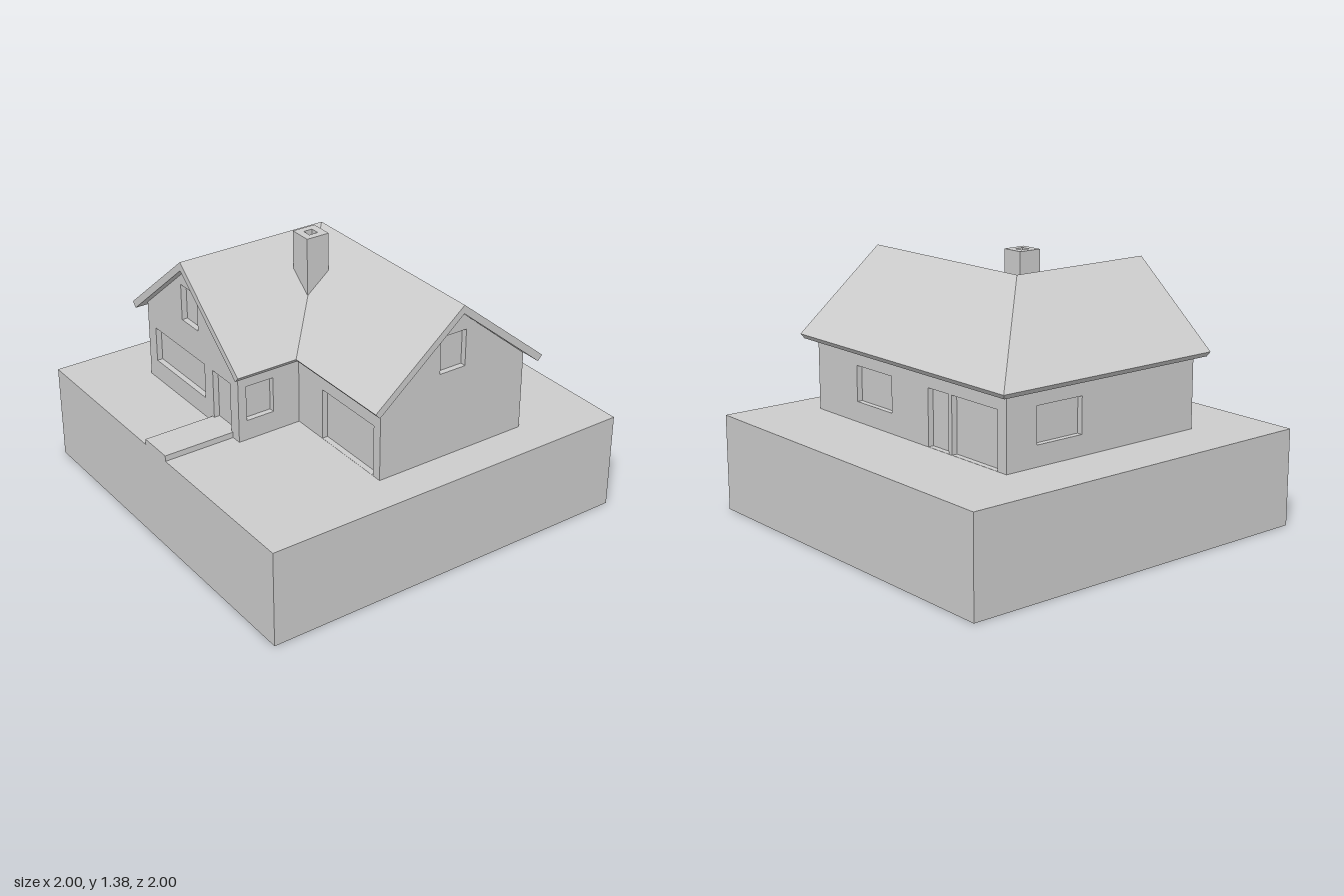
import * as THREE from 'three';

const grey = new THREE.MeshStandardMaterial({ color: 0xcccccc, flatShading: true, side: THREE.DoubleSide });
const GROUND = 0.5, RIDGE = 1.3, RIDGE_X = -0.27, RIDGE_Z = -0.145, HALF = 0.49, EAVE = 0.895;
const SLOPE = (RIDGE - EAVE) / HALF;
const RECESS = 0.03;

const shapeOf = (pts) => new THREE.Shape(pts.map(([x, y]) => new THREE.Vector2(x, y)));
const rectPath = (x0, y0, x1, y1) =>
  new THREE.Path([[x0, y0], [x1, y0], [x1, y1], [x0, y1]].map(([x, y]) => new THREE.Vector2(x, y)));

function addMesh(parent, name, geometry) {
  const mesh = new THREE.Mesh(geometry, grey);
  mesh.name = name;
  parent.add(mesh);
  return mesh;
}

// Box between two corners, without the listed sides (0 +x, 1 -x, 2 +y, 3 -y, 4 +z, 5 -z)
function openBox([x0, y0, z0], [x1, y1, z1], missing) {
  const g = new THREE.BoxGeometry(x1 - x0, y1 - y0, z1 - z0);
  g.translate((x0 + x1) / 2, (y0 + y1) / 2, (z0 + z1) / 2);
  g.setIndex([...g.index.array].filter((_, i) => !missing.includes(Math.floor(i / 6))));
  g.clearGroups();
  return g;
}

// Flat wall facing a given way, with recessed openings [name, u0, y0, u1, y1]
function addWall(parent, name, angle, distance, outline, openings) {
  const wall = new THREE.Group();
  wall.name = name;
  wall.rotation.y = angle;
  const shape = shapeOf(outline);
  for (const [part, u0, y0, u1, y1] of openings) {
    shape.holes.push(rectPath(u0, y0, u1, y1));
    addMesh(wall, part, openBox([u0, y0, distance - RECESS], [u1, y1, distance], [4]));
  }
  addMesh(wall, name + 'Surface', new THREE.ShapeGeometry(shape).translate(0, 0, distance));
  parent.add(wall);
}

// L-shaped roof slab with a hip, a valley and two gable ends
function roofGeometry() {
  const level = (half, ridge, eave) => {
    const xl = RIDGE_X - half, xr = RIDGE_X + half, zb = RIDGE_Z - half, zf = RIDGE_Z + half;
    const frontEnd = 0.67, rightEnd = 0.85;
    return {
      hip: [xl, eave, zb], leftFront: [xl, eave, frontEnd], ridgeFront: [RIDGE_X, ridge, frontEnd],
      innerFront: [xr, eave, frontEnd], valley: [xr, eave, zf], innerRight: [rightEnd, eave, zf],
      ridgeRight: [rightEnd, ridge, RIDGE_Z], backRight: [rightEnd, eave, zb], peak: [RIDGE_X, ridge, RIDGE_Z],
    };
  };
  const top = level(HALF, RIDGE, EAVE), low = level(0.466, 1.256, 0.868);
  const v = [];
  const quad = (a, b, c, d) => v.push(...a, ...b, ...c, ...a, ...c, ...d);
  const slopes = [
    ['hip', 'leftFront', 'ridgeFront', 'peak'], ['backRight', 'hip', 'peak', 'ridgeRight'],
    ['peak', 'ridgeFront', 'innerFront', 'valley'], ['peak', 'valley', 'innerRight', 'ridgeRight'],
  ];
  for (const s of slopes) {
    quad(...s.map((k) => top[k]));
    quad(...s.map((k) => low[k]).reverse());
  }
  // fascia around the rim
  const rim = ['hip', 'leftFront', 'ridgeFront', 'innerFront', 'valley', 'innerRight', 'ridgeRight', 'backRight'];
  rim.forEach((k, i) => {
    const n = rim[(i + 1) % rim.length];
    quad(top[k], low[k], low[n], top[n]);
  });
  const g = new THREE.BufferGeometry();
  g.setAttribute('position', new THREE.Float32BufferAttribute(v, 3));
  g.computeVertexNormals();
  return g;
}

// Square flue tube whose foot follows the roof
function chimneyGeometry() {
  const top = 1.375;
  const shape = shapeOf([[-0.123, 0], [-0.003, 0], [-0.003, -0.125], [-0.123, -0.125]]);
  shape.holes.push(rectPath(-0.087, -0.087, -0.039, -0.039));
  const g = new THREE.ExtrudeGeometry(shape, { depth: top, bevelEnabled: false }).rotateX(-Math.PI / 2);
  const p = g.attributes.position;
  for (let i = 0; i < p.count; i++) {
    if (p.getY(i) > 0.1) continue;
    const reach = Math.min(Math.abs(p.getX(i) - RIDGE_X), Math.abs(p.getZ(i) - RIDGE_Z));
    p.setY(i, RIDGE - SLOPE * reach - 0.005);
  }
  g.computeVertexNormals();
  return g;
}

export function createModel() {
  const model = new THREE.Group();
  model.name = 'houseOnPlinth';

  // Hollow plinth, with the ground cut out around house and path
  addMesh(model, 'plinthSides', openBox([-1, 0, -1], [1, GROUND, 1], [2, 3]));
  const ground = shapeOf([
    [-1, 1], [-1, -1], [-0.095, -1], [-0.095, -0.625], [-0.69, -0.625], [-0.69, 0.56], [0.8, 0.56],
    [0.8, -0.28], [0.145, -0.28], [0.145, -0.625], [0.09, -0.625], [0.09, -1], [1, -1], [1, 1],
  ]);
  addMesh(model, 'ground', new THREE.ShapeGeometry(ground).rotateX(-Math.PI / 2).translate(0, GROUND, 0));
  addMesh(model, 'path', openBox([-0.095, GROUND, 0.625], [0.09, 0.53, 1], [3, 5]));

  // Walls
  const house = new THREE.Group();
  house.name = 'walls';
  model.add(house);
  const plate = 0.908, apex = 1.256, sill = GROUND + 0.001;
  const plain = (a, b) => [[a, GROUND], [b, GROUND], [b, plate], [a, plate]];
  const gable = (a, b, mid) => [[a, GROUND], [b, GROUND], [b, plate], [mid, apex], [a, plate]];

  addWall(house, 'frontGableWall', 0, 0.625, gable(-0.69, 0.145, RIDGE_X), [
    ['frontWindow', -0.62, 0.605, -0.155, 0.79],
    ['frontAtticWindow', -0.35, 0.95, -0.203, 1.14],
    ['frontDoor', -0.08, 0.53, 0.075, 0.79],
  ]);
  addWall(house, 'garageWall', 0, 0.28, plain(0.145, 0.8), [['garageDoor', 0.343, sill, 0.75, 0.768]]);
  addWall(house, 'innerSideWall', Math.PI / 2, 0.145, plain(-0.625, -0.28), [['sideWindow', -0.58, 0.605, -0.428, 0.79]]);
  addWall(house, 'rightGableWall', Math.PI / 2, 0.8, gable(-0.28, 0.56, -RIDGE_Z), [
    ['rightAtticWindow', 0.057, 0.95, 0.203, 1.14],
  ]);
  addWall(house, 'backWall', Math.PI, 0.56, plain(-0.8, 0.69), [
    ['backWindow', -0.465, 0.605, -0.175, 0.79],
    ['backDoor', 0.115, sill, 0.27, 0.79],
    ['patioDoor', 0.295, sill, 0.626, 0.79],
  ]);
  addWall(house, 'leftWall', -Math.PI / 2, 0.69, plain(-0.56, 0.625), [['leftWindow', -0.38, 0.605, -0.105, 0.79]]);

  // Roof and chimney
  addMesh(model, 'roof', roofGeometry());
  addMesh(model, 'chimney', chimneyGeometry());
  return model;
}
